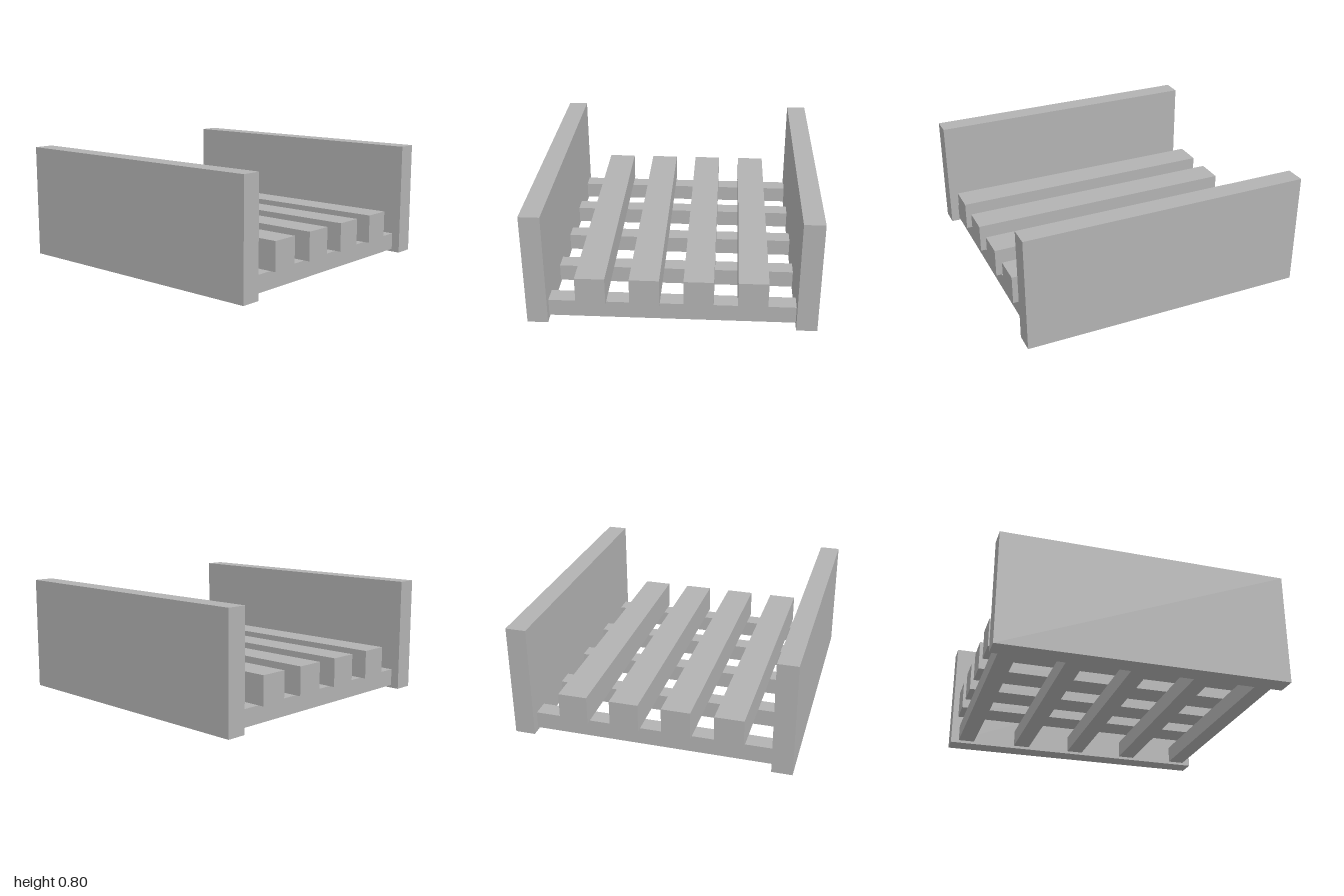
import * as THREE from 'three';

export function createModel() {
  const model = new THREE.Group();
  model.name = 'slattedTray';

  const grey = new THREE.MeshStandardMaterial({ color: 0xb2b2b2 });
  grey.name = 'grey';

  // Box centred on x and z, resting with its underside at y
  function addBox(name, [w, h, d], [x, y, z]) {
    const mesh = new THREE.Mesh(new THREE.BoxGeometry(w, h, d), grey);
    mesh.name = name;
    mesh.position.set(x, y + h / 2, z);
    model.add(mesh);
  }

  // Upright side walls
  addBox('leftWall', [0.14, 0.8, 2], [0.9, 0, 0]);
  addBox('rightWall', [0.14, 0.8, 2], [-0.9, 0, 0]);

  // Cross slats joining the walls
  for (let i = -2; i <= 2; i++) {
    addBox(`crossSlat${i + 3}`, [1.66, 0.12, 0.12], [0, 0.02, i * 0.44]);
  }

  // Lengthwise beams lying on the slats
  for (let i = 0; i < 4; i++) {
    addBox(`beam${i + 1}`, [0.2, 0.2, 1.96], [(i - 1.5) * 0.36, 0.14, 0]);
  }

  return model;
}
